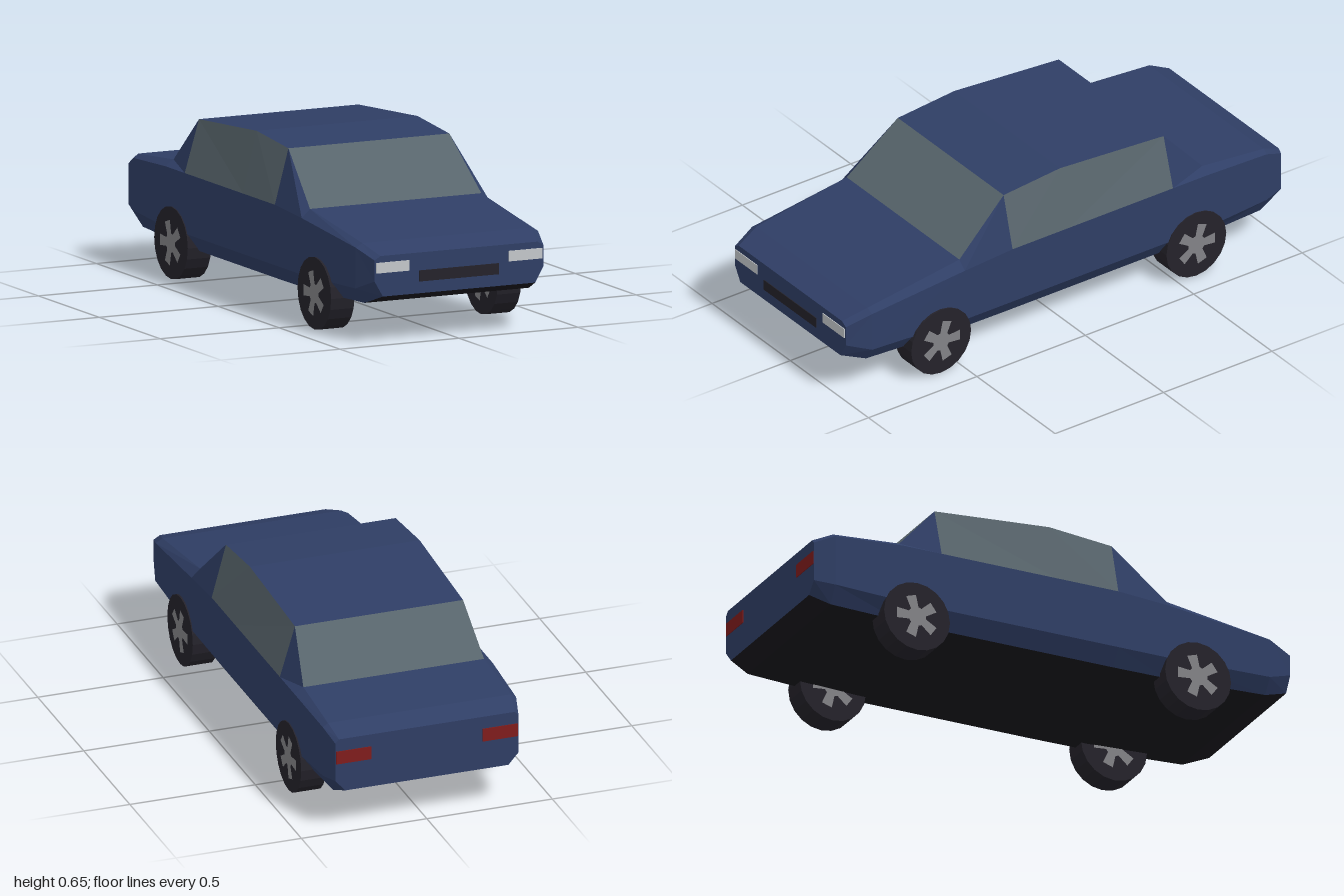
import * as THREE from 'three';

const mat = (name, color, side = THREE.FrontSide) => {
  const m = new THREE.MeshStandardMaterial({ color, flatShading: true, side });
  m.name = name;
  return m;
};

// Half sections, front to back: z, then [x, y] of sill, lower side, belt and top edge
const STATIONS = [
  [1.0, [0.32, 0.185], [0.355, 0.245], [0.355, 0.325], [0.33, 0.34]],
  [0.9, [0.345, 0.147], [0.385, 0.205], [0.383, 0.36], [0.355, 0.375]],
  [0.48, [0.35, 0.127], [0.395, 0.19], [0.395, 0.405], [0.36, 0.437]],
  [0.26, [0.35, 0.125], [0.395, 0.19], [0.395, 0.42], [0.338, 0.63]],
  [0.0, [0.35, 0.125], [0.395, 0.19], [0.395, 0.42], [0.338, 0.654]],
  [-0.48, [0.35, 0.125], [0.395, 0.19], [0.395, 0.42], [0.335, 0.62]],
  [-0.64, [0.35, 0.13], [0.395, 0.19], [0.395, 0.42], [0.36, 0.443]],
  [-0.92, [0.345, 0.14], [0.385, 0.205], [0.385, 0.405], [0.365, 0.42]],
  [-1.0, [0.325, 0.17], [0.365, 0.215], [0.365, 0.37], [0.35, 0.385]],
];

// Which part a panel belongs to: bay i along the car, strip j around it
function panelPart(i, j) {
  if (j === 7) return 'underside';
  if (j === 3) return i === 2 || i === 5 ? 'windows' : 'body';
  if ((j === 2 || j === 4) && (i === 3 || i === 4)) return 'windows';
  return 'body';
}

// Loft the shell and sort its panels into body, windows and underside
function buildShell() {
  const parts = { body: [], windows: [], underside: [] };
  const rings = STATIONS.map(([z, ...half]) => [
    ...half.map(([x, y]) => [x, y, z]),
    ...half.slice().reverse().map(([x, y]) => [-x, y, z]),
  ]);
  for (let i = 0; i < rings.length - 1; i++) {
    for (let j = 0; j < 8; j++) {
      const k = (j + 1) % 8;
      const a = rings[i][j], b = rings[i][k], c = rings[i + 1][k], d = rings[i + 1][j];
      const tris = j < 4 ? [a, d, c, a, c, b] : [a, d, b, d, c, b];
      parts[panelPart(i, j)].push(...tris.flat());
    }
  }
  // Flat nose and tail
  const nose = rings[0], tail = rings[rings.length - 1];
  for (let j = 1; j < 7; j++) {
    parts.body.push(...nose[0], ...nose[j], ...nose[j + 1]);
    parts.body.push(...tail[0], ...tail[j + 1], ...tail[j]);
  }
  return parts;
}

// Five-spoke wheel centre
function spokeShape() {
  const pts = [];
  for (let s = 0; s < 5; s++) {
    const mid = (s / 5) * Math.PI * 2;
    for (const [da, r] of [[-0.25, 0.087], [0.25, 0.087], [0.45, 0.038], [0.8, 0.038]]) {
      pts.push(new THREE.Vector2(Math.cos(mid + da) * r, Math.sin(mid + da) * r));
    }
  }
  return new THREE.Shape(pts);
}

export function createModel() {
  const model = new THREE.Group();
  model.name = 'car';
  const paint = mat('blue paint', 0x2f3e65);
  const glass = mat('window glass', 0x58656c);
  const dark = mat('dark rubber', 0x24222a);
  const under = mat('underside black', 0x19181d);
  const metal = mat('wheel metal', 0x828286, THREE.DoubleSide);
  const lamp = mat('headlight white', 0xc3c7ca);
  const red = mat('tail light red', 0x801c1c);

  const add = (name, geometry, material, parent = model) => {
    const mesh = new THREE.Mesh(geometry, material);
    mesh.name = name;
    parent.add(mesh);
    return mesh;
  };

  // Shell
  const shellMaterials = { body: paint, windows: glass, underside: under };
  for (const [name, positions] of Object.entries(buildShell())) {
    const g = new THREE.BufferGeometry();
    g.setAttribute('position', new THREE.Float32BufferAttribute(positions, 3));
    g.computeVertexNormals();
    add(name, g, shellMaterials[name]);
  }

  // Grille and lights as thin plates
  const plate = (name, x, y, z, w, h, material) =>
    add(name, new THREE.BoxGeometry(w, h, 0.006), material).position.set(x, y, z);
  plate('grille', 0, 0.251, 1, 0.335, 0.042, dark);
  for (const [side, s] of [['left', 1], ['right', -1]]) {
    plate(side + 'Headlight', s * 0.279, 0.295, 1, 0.14, 0.04, lamp);
    plate(side + 'TailLight', s * 0.292, 0.31, -1, 0.14, 0.052, red);
  }

  // Wheels
  const tyre = new THREE.CylinderGeometry(0.138, 0.138, 0.098, 20).rotateZ(Math.PI / 2);
  const spokes = new THREE.ShapeGeometry(spokeShape()).rotateY(Math.PI / 2);
  for (const [end, z] of [['front', 0.592], ['rear', -0.585]]) {
    for (const [side, s] of [['Left', 1], ['Right', -1]]) {
      const wheel = new THREE.Group();
      wheel.name = end + side + 'Wheel';
      wheel.position.set(s * 0.35, 0.138, z);
      add('tyre', tyre, dark, wheel);
      for (const face of [1, -1]) {
        add(face === s ? 'outerSpokes' : 'innerSpokes', spokes, metal, wheel).position.x = face * 0.051;
      }
      model.add(wheel);
    }
  }
  return model;
}
